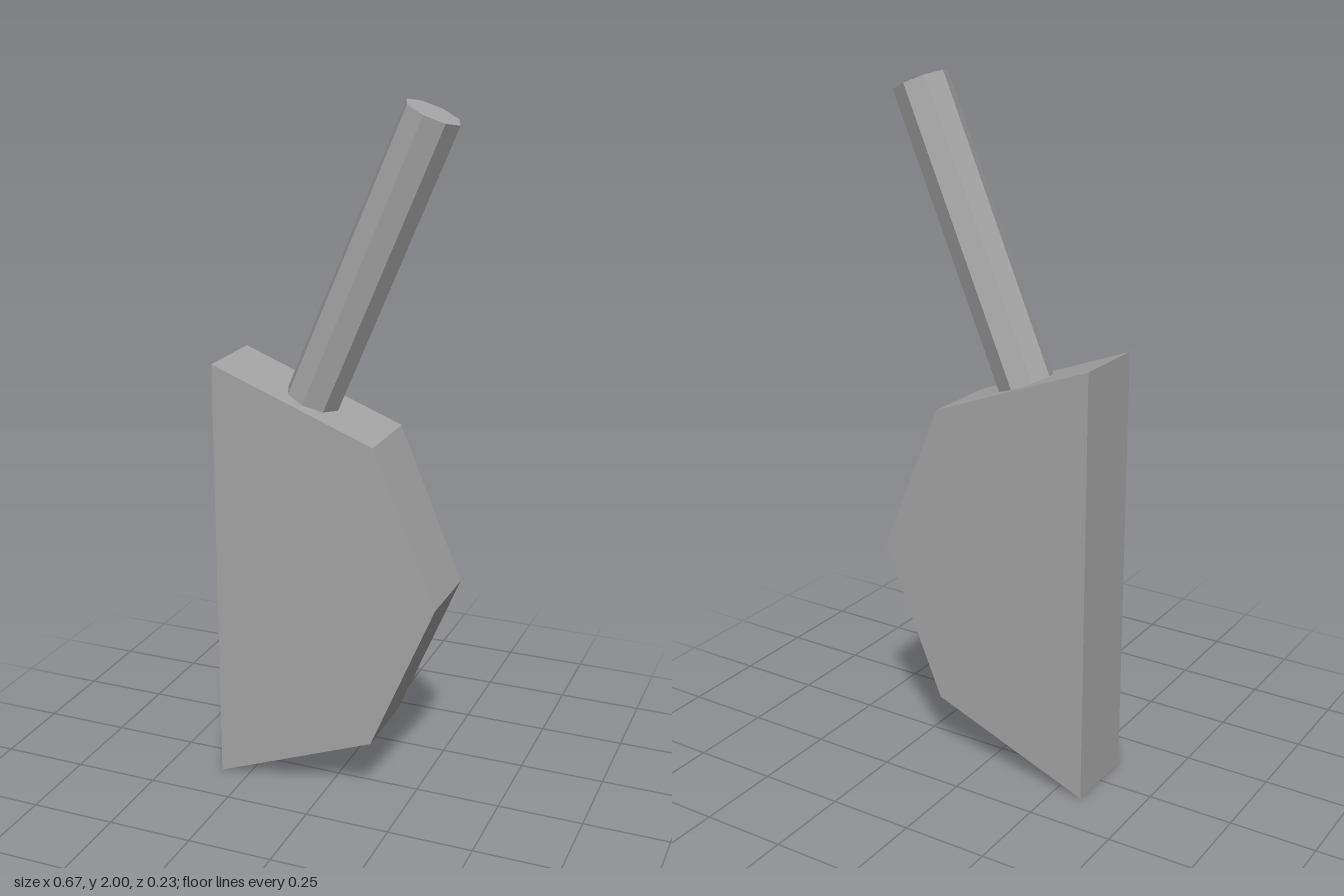
import * as THREE from 'three';

export function createModel() {
  const model = new THREE.Group();
  const grey = new THREE.MeshStandardMaterial({ color: 0xa6a6a6 });
  grey.name = 'grey';
  grey.flatShading = true;

  // Half-octagon slab
  const depth = 0.23;
  const outline = [[-0.335, 0], [0.145, 0.188], [0.332, 0.637], [0.145, 1.086], [-0.335, 1.272]];
  const shape = new THREE.Shape(outline.map(([x, y]) => new THREE.Vector2(x, y)));
  const slab = new THREE.Mesh(
    new THREE.ExtrudeGeometry(shape, { depth, bevelEnabled: false }).translate(0, 0, -depth / 2), grey);
  slab.name = 'slab';
  model.add(slab);

  // Tilted octagonal handle standing on the sloping top face
  const bottom = new THREE.Vector3(-0.078, 1.17, 0);
  const top = new THREE.Vector3(0.261, 1.97, 0);
  const handle = new THREE.Mesh(
    new THREE.CylinderGeometry(0.08, 0.08, bottom.distanceTo(top), 8), grey);
  handle.name = 'handle';
  handle.position.copy(bottom).lerp(top, 0.5);
  handle.rotation.z = -Math.atan2(top.x - bottom.x, top.y - bottom.y);
  model.add(handle);

  return model;
}
